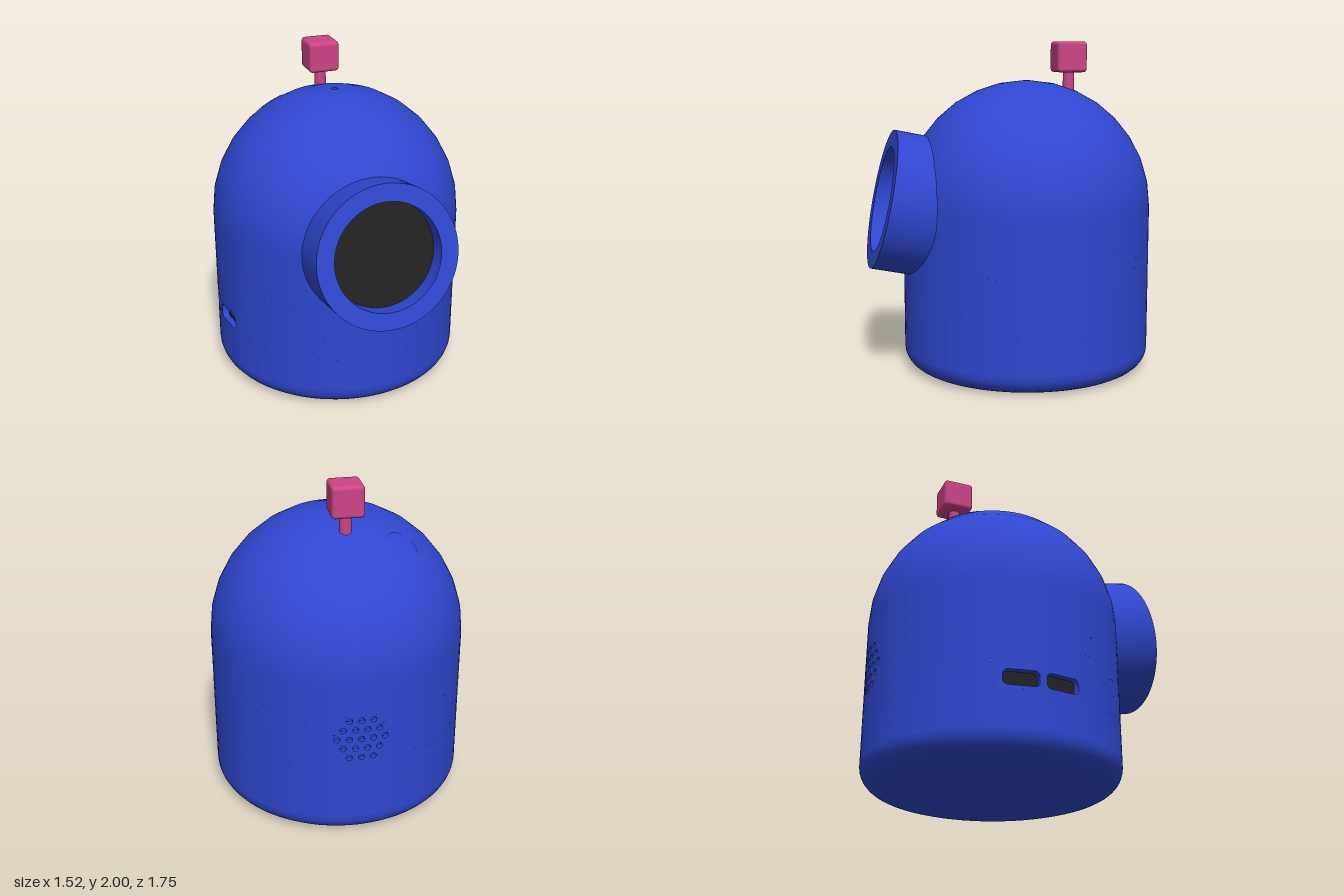
import * as THREE from 'three';
import { RoundedBoxGeometry } from 'three/addons/geometries/RoundedBoxGeometry.js';

const R = 0.762, AXIS_Z = -0.11, DOME_Y = 1.003, SEGS = 96;

const blue = new THREE.MeshStandardMaterial({ color: 0x3047d0 });
const pink = new THREE.MeshStandardMaterial({ color: 0xcc4585 });
const black = new THREE.MeshStandardMaterial({ color: 0x222222 });
blue.name = 'blue shell';
pink.name = 'pink antenna';
black.name = 'black glass';

function add(parent, name, geometry, material, x = 0, y = 0, z = 0) {
  const mesh = new THREE.Mesh(geometry, material);
  mesh.name = name;
  mesh.position.set(x, y, z);
  parent.add(mesh);
  return mesh;
}

const lathe = (points) =>
  new THREE.LatheGeometry(points.map(([r, y]) => new THREE.Vector2(r, y)), SEGS);

// Wraps a flat geometry (x along the wall, z outward) around the body
function wrap(geometry, angle) {
  const p = geometry.attributes.position, n = geometry.attributes.normal;
  for (let i = 0; i < p.count; i++) {
    const a = angle + p.getX(i) / R, r = R + p.getZ(i);
    const nx = n.getX(i), nz = n.getZ(i), s = Math.sin(a), c = Math.cos(a);
    p.setXYZ(i, r * s, p.getY(i), r * c);
    n.setXYZ(i, nx * c + nz * s, n.getY(i), nz * c - nx * s);
  }
  return geometry;
}

// Rounded rectangle outline; a circle when the radius is half its size
function rounded(path, w, h, r) {
  path.absarc(w / 2 - r, h / 2 - r, r, 0, Math.PI / 2);
  path.absarc(-w / 2 + r, h / 2 - r, r, Math.PI / 2, Math.PI);
  path.absarc(-w / 2 + r, -h / 2 + r, r, Math.PI, Math.PI * 1.5);
  path.absarc(w / 2 - r, -h / 2 + r, r, Math.PI * 1.5, Math.PI * 2);
  path.closePath();
  return path;
}

// One piece of wall with a recess in it
function wallCell(parent, name, angle, y, cell, hole, depth, floorMaterial) {
  const [w, h] = cell, n = 6;
  const outline = [];
  for (let i = 0; i <= n; i++) outline.push(new THREE.Vector2(-w / 2 + (w * i) / n, -h / 2));
  for (let i = n; i >= 0; i--) outline.push(new THREE.Vector2(-w / 2 + (w * i) / n, h / 2));
  const shape = new THREE.Shape(outline);
  shape.holes.push(rounded(new THREE.Path(), ...hole));
  const rim = new THREE.ExtrudeGeometry(shape, { depth, bevelEnabled: false, curveSegments: 4 });
  add(parent, name, wrap(rim.translate(0, 0, -depth), angle), blue, 0, y, 0);
  const floor = new THREE.ShapeGeometry(rounded(new THREE.Shape(), ...hole), 4);
  add(parent, name + 'Floor', wrap(floor.translate(0, 0, -depth + 0.001), angle), floorMaterial, 0, y, 0);
}

// Plain wall from y0 to y1, leaving a gap of the given arc length
function wallBand(parent, y0, y1, gapAngle = 0, gap = 0) {
  const half = gap / 2 / R;
  const geometry = new THREE.CylinderGeometry(R, R, y1 - y0, SEGS, 1, true,
    gapAngle + half, Math.PI * 2 - 2 * half);
  add(parent, 'wall', geometry, blue, 0, (y0 + y1) / 2, 0);
}

function buildBody() {
  const body = new THREE.Group();
  body.name = 'body';
  body.position.z = AXIS_Z;

  // Base with a rounded lower edge
  const f = 0.12, fillet = [];
  for (let i = 0; i <= 8; i++) {
    const a = (i / 8) * Math.PI / 2;
    fillet.push([R - f + f * Math.sin(a), f - f * Math.cos(a)]);
  }
  add(body, 'baseEdge', lathe(fillet), blue);
  add(body, 'base', new THREE.CircleGeometry(R - f, SEGS).rotateX(Math.PI / 2), blue);

  // Two port slots in the model's right side
  wallBand(body, f, 0.34);
  wallBand(body, 0.34, 0.47, -Math.PI / 2, 0.492);
  for (const s of [-1, 1]) {
    wallCell(body, 'portSlot', -Math.PI / 2 + s * 0.123 / R, 0.405,
      [0.246, 0.13], [0.205, 0.09, 0.03], 0.04, black);
  }
  wallBand(body, 0.47, 0.5);

  // Honeycomb of speaker holes in the back
  const pitch = 0.07, rowH = 0.06;
  [3, 4, 5, 4, 3].forEach((count, row) => {
    const y0 = 0.5 + row * rowH;
    wallBand(body, y0, y0 + rowH, Math.PI, count * pitch);
    for (let i = 0; i < count; i++) {
      wallCell(body, 'speakerHole', Math.PI + ((i - (count - 1) / 2) * pitch) / R,
        y0 + rowH / 2, [pitch, rowH], [0.036, 0.036, 0.018], 0.03, blue);
    }
  });
  wallBand(body, 0.8, DOME_Y);

  // Dome with a pinhole at its top
  const pin = 0.02, pinAngle = Math.asin(pin / R), top = DOME_Y + R * Math.cos(pinAngle);
  add(body, 'dome', new THREE.SphereGeometry(R, SEGS, 8, 0, Math.PI * 2,
    pinAngle, Math.PI / 2 - pinAngle), blue, 0, DOME_Y, 0);
  add(body, 'pinhole', lathe([[pin, top], [pin, top - 0.04]]), blue);
  add(body, 'pinholeFloor', new THREE.CircleGeometry(pin, 24).rotateX(-Math.PI / 2), blue, 0, top - 0.04, 0);

  // Flush round button on the dome, to the back right
  const button = add(body, 'domeButton', new THREE.SphereGeometry(R + 0.001, 48, 4, 0,
    Math.PI * 2, 0, 0.137), blue, 0, DOME_Y, 0);
  button.quaternion.setFromUnitVectors(new THREE.Vector3(0, 1, 0),
    new THREE.Vector3(-0.32, 0.613, -0.32).normalize());
  return body;
}

// Tilted round hood with a recessed dark screen; local y points out of it
function buildEye() {
  const eye = new THREE.Group();
  eye.name = 'eye';
  eye.position.set(0, 1.06, 0.787);
  eye.rotation.x = Math.acos(0.206);
  const outer = 0.424, inner = 0.32, recess = 0.11;
  add(eye, 'hoodOutside', lathe([[outer, -0.32], [outer, 0]]), blue);
  add(eye, 'hoodFace', lathe([[outer, 0], [inner, 0]]), blue);
  add(eye, 'hoodInside', lathe([[inner, 0], [inner, -recess]]), blue);
  add(eye, 'screen', new THREE.CircleGeometry(inner, SEGS).rotateX(-Math.PI / 2), black, 0, -recess, 0);
  return eye;
}

// Cube on a short stem
function buildAntenna() {
  const antenna = new THREE.Group();
  antenna.name = 'antenna';
  antenna.position.z = -0.38;
  add(antenna, 'antennaStem', new THREE.CylinderGeometry(0.035, 0.035, 0.14, 32), pink, 0, 1.76, 0);
  add(antenna, 'antennaCube', new RoundedBoxGeometry(0.187, 0.187, 0.187, 4, 0.022), pink, 0, 1.9065, 0);
  return antenna;
}

export function createModel() {
  const model = new THREE.Group();
  model.name = 'deskRobot';
  model.add(buildBody(), buildEye(), buildAntenna());
  return model;
}
